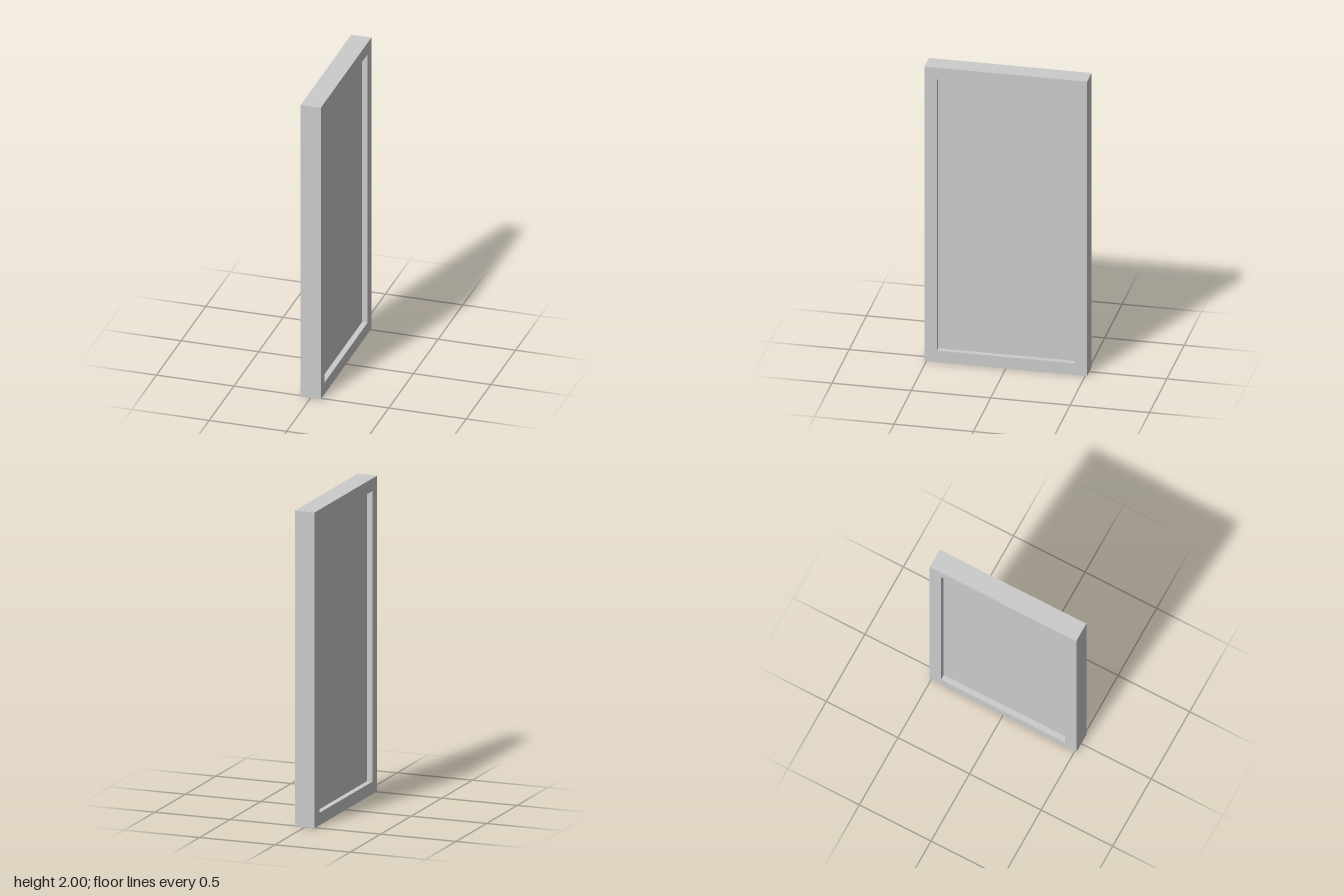
import * as THREE from 'three';

const HEIGHT = 2, WIDTH = 1.024, DEPTH = 0.13; // outer size (y, z, x)
const BORDER = 0.079, PANEL_DEPTH = 0.06;

// Trace a rectangle centred on the origin
function rect(path, w, h) {
  path.moveTo(-w / 2, -h / 2);
  path.lineTo(w / 2, -h / 2);
  path.lineTo(w / 2, h / 2);
  path.lineTo(-w / 2, h / 2);
  path.closePath();
  return path;
}

export function createModel() {
  const group = new THREE.Group();
  group.name = 'framedPanel';
  const material = new THREE.MeshStandardMaterial({ color: 0xcccccc });
  const innerW = WIDTH - 2 * BORDER, innerH = HEIGHT - 2 * BORDER;

  // Frame: a rectangle with a rectangular opening, extruded along x
  const outline = rect(new THREE.Shape(), WIDTH, HEIGHT);
  outline.holes.push(rect(new THREE.Path(), innerW, innerH));
  const frameGeometry = new THREE.ExtrudeGeometry(outline, { depth: DEPTH, bevelEnabled: false });
  frameGeometry.translate(0, 0, -DEPTH / 2).rotateY(Math.PI / 2);
  const frame = new THREE.Mesh(frameGeometry, material);
  frame.name = 'frame';

  // Panel: recessed equally on both faces
  const panel = new THREE.Mesh(new THREE.BoxGeometry(PANEL_DEPTH, innerH, innerW), material);
  panel.name = 'panel';

  for (const part of [frame, panel]) {
    part.position.y = HEIGHT / 2;
    group.add(part);
  }
  return group;
}
